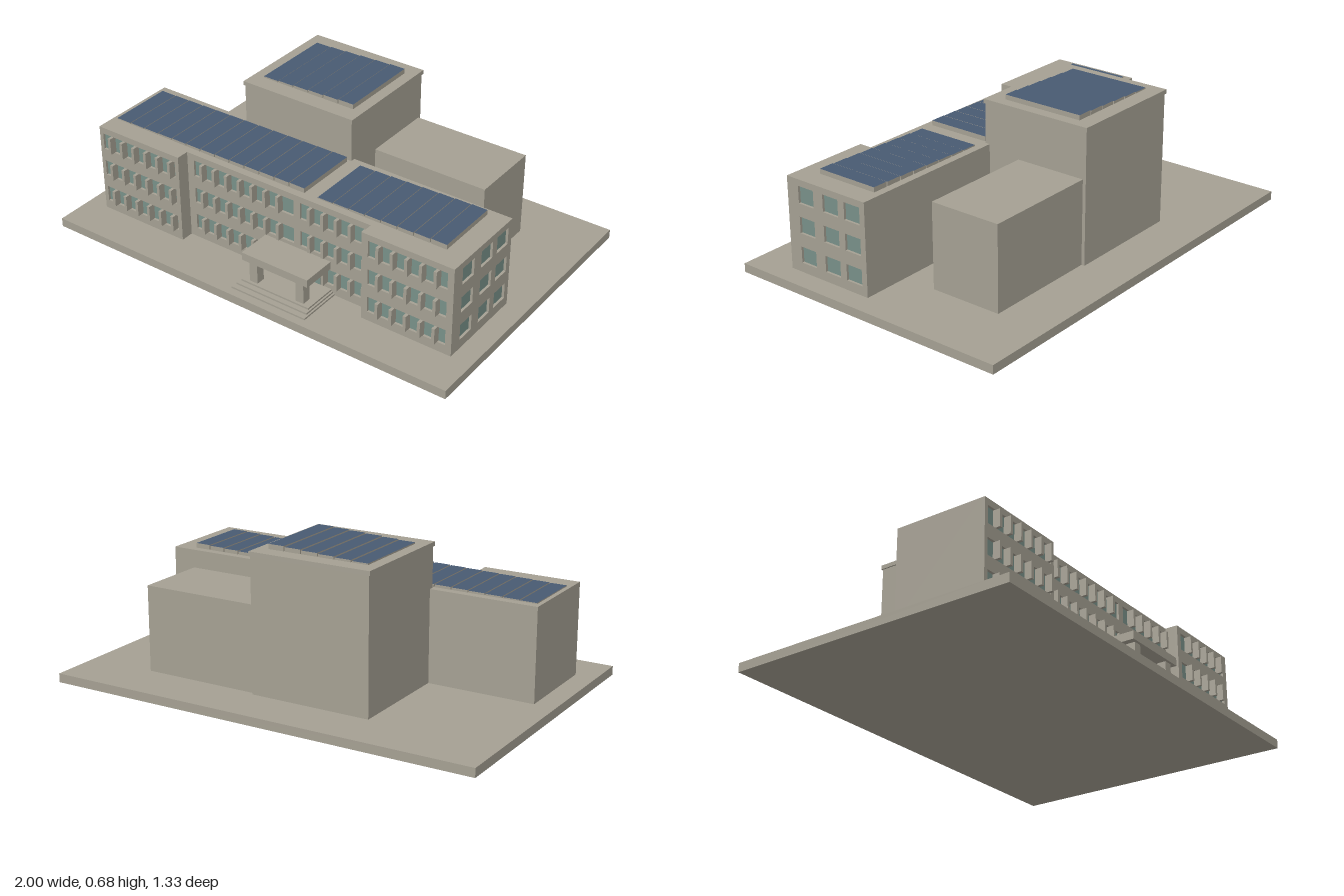
import * as THREE from 'three';

export function createModel() {
  const root = new THREE.Group();
  root.name = 'officeBuilding';
  const mat = (name, color) => {
    const m = new THREE.MeshStandardMaterial({ color });
    m.name = name;
    return m;
  };
  const stone = mat('stone', 0xa5a093);
  const glass = mat('glass', 0x789088);
  const solar = mat('solar blue', 0x485a72);

  // Box given by its limits on each axis
  const box = (name, x0, x1, y0, y1, z0, z1, material = stone, parent = root) => {
    const mesh = new THREE.Mesh(new THREE.BoxGeometry(x1 - x0, y1 - y0, z1 - z0), material);
    mesh.position.set((x0 + x1) / 2, (y0 + y1) / 2, (z0 + z1) / 2);
    mesh.name = name;
    parent.add(mesh);
    return mesh;
  };

  const GROUND = 0.04, ROOF = 0.455, WALL = 0.014;
  const floors = [[0.083, 0.156], [0.216, 0.29], [0.349, 0.426]];

  const rect = (C, x0, x1, y0, y1) => {
    const s = new C();
    s.moveTo(x0, y0);
    s.lineTo(x1, y0);
    s.lineTo(x1, y1);
    s.lineTo(x0, y1);
    s.closePath();
    return s;
  };

  // Wall facing local +z with openings on every floor and glass set behind them
  const facade = (name, x0, x1, openings) => {
    const group = new THREE.Group();
    group.name = name;
    const shape = rect(THREE.Shape, x0, x1, GROUND, ROOF);
    for (const [y0, y1] of floors) {
      for (const [a, b] of openings) {
        shape.holes.push(rect(THREE.Path, a, b, y0, y1));
        box('windowGlass', a, b, y0, y1, -0.002, 0.003, glass, group);
      }
    }
    const wall = new THREE.Mesh(
      new THREE.ExtrudeGeometry(shape, { depth: WALL, bevelEnabled: false }), stone);
    wall.name = 'facadeWall';
    group.add(wall);
    root.add(group);
    return group;
  };

  // Row of upright fins dividing the long window bands
  const addFins = (group, start, count) => {
    for (const [y0, y1] of floors) {
      for (let i = 0; i < count; i++) {
        const x = start + i * 0.067;
        box('windowFin', x - 0.007, x + 0.007, y0, y1, 0, WALL + 0.022, stone, group);
      }
    }
  };

  // Ground slab
  box('groundSlab', -1, 1, 0, GROUND, -0.667, 0.667);

  // Main block cores
  box('centreCore', -0.46, 0.48, GROUND, ROOF, 0.055, 0.422 - WALL);
  box('rightWingCore', -0.905, -0.46, GROUND, ROOF, 0.055, 0.481 - WALL);
  box('leftWingCore', 0.48, 0.905 - WALL, GROUND, ROOF, 0.055, 0.481 - WALL);

  // Front walls
  const rightWing = facade('rightWingFront', -0.905, -0.46, [[-0.886, -0.48]]);
  rightWing.position.z = 0.481 - WALL;
  addFins(rightWing, -0.833, 6);

  const centre = facade('centreFront', -0.46, 0.48, [[-0.425, 0.1], [0.133, 0.475]]);
  centre.position.z = 0.422 - WALL;
  addFins(centre, -0.372, 7);
  addFins(centre, 0.19, 5);

  const leftWing = facade('leftWingFront', 0.48, 0.905, [[0.508, 0.876]]);
  leftWing.position.z = 0.481 - WALL;
  addFins(leftWing, 0.565, 5);

  // End wall of the left wing
  const end = facade('leftEndWall', -(0.481 - WALL), -0.055,
    [[-0.42, -0.336], [-0.284, -0.2], [-0.166, -0.082]]);
  end.rotation.y = Math.PI / 2;
  end.position.x = 0.905 - WALL;

  // Tower and rear annex
  box('tower', -0.415, 0.142, GROUND, 0.636, -0.448, 0.077);
  box('towerCap', -0.421, 0.148, 0.636, 0.655, -0.453, 0.081);
  box('rearAnnex', 0.142, 0.685, GROUND, 0.425, -0.433, -0.1);

  // Entrance: glass, canopy, columns and steps
  box('entranceGlass', 0.03, 0.235, 0.066, 0.165, 0.42, 0.426, glass);
  for (const x of [0.095, 0.165]) box('doorMullion', x - 0.004, x + 0.004, 0.066, 0.165, 0.42, 0.43);
  box('canopy', -0.048, 0.286, 0.164, 0.2, 0.421, 0.582);
  for (const x of [0.001, 0.237]) {
    box('canopyColumn', x - 0.02, x + 0.02, GROUND, 0.164, 0.528, 0.57);
  }
  [0.63, 0.605, 0.582].forEach((z, i) => {
    const inset = i * 0.008;
    box('entranceStep', -0.07 + inset, 0.306 - inset, GROUND, 0.048 + i * 0.008, 0.421, z);
  });

  // Stepped solar arrays, each panel a little higher than the one before
  const sides = [stone, stone, solar, stone, stone, stone];
  const solarArray = (name, x0, x1, z0, z1, y, count) => {
    const group = new THREE.Group();
    group.name = name;
    const pitch = (x1 - x0) / count;
    for (let i = 0; i < count; i++) {
      const top = y + 0.003 + 0.019 * (i + 1) / count;
      const a = x0 + i * pitch;
      box('solarPanel', a, a + pitch - 0.005, y, top, z0, z1, sides, group);
    }
    root.add(group);
  };
  solarArray('rightSolarArray', -0.885, 0.135, 0.09, 0.388, ROOF, 13);
  solarArray('leftSolarArray', 0.197, 0.815, 0.09, 0.388, ROOF, 8);
  solarArray('towerSolarArray', -0.37, 0.103, -0.38, 0.004, 0.655, 6);

  return root;
}
